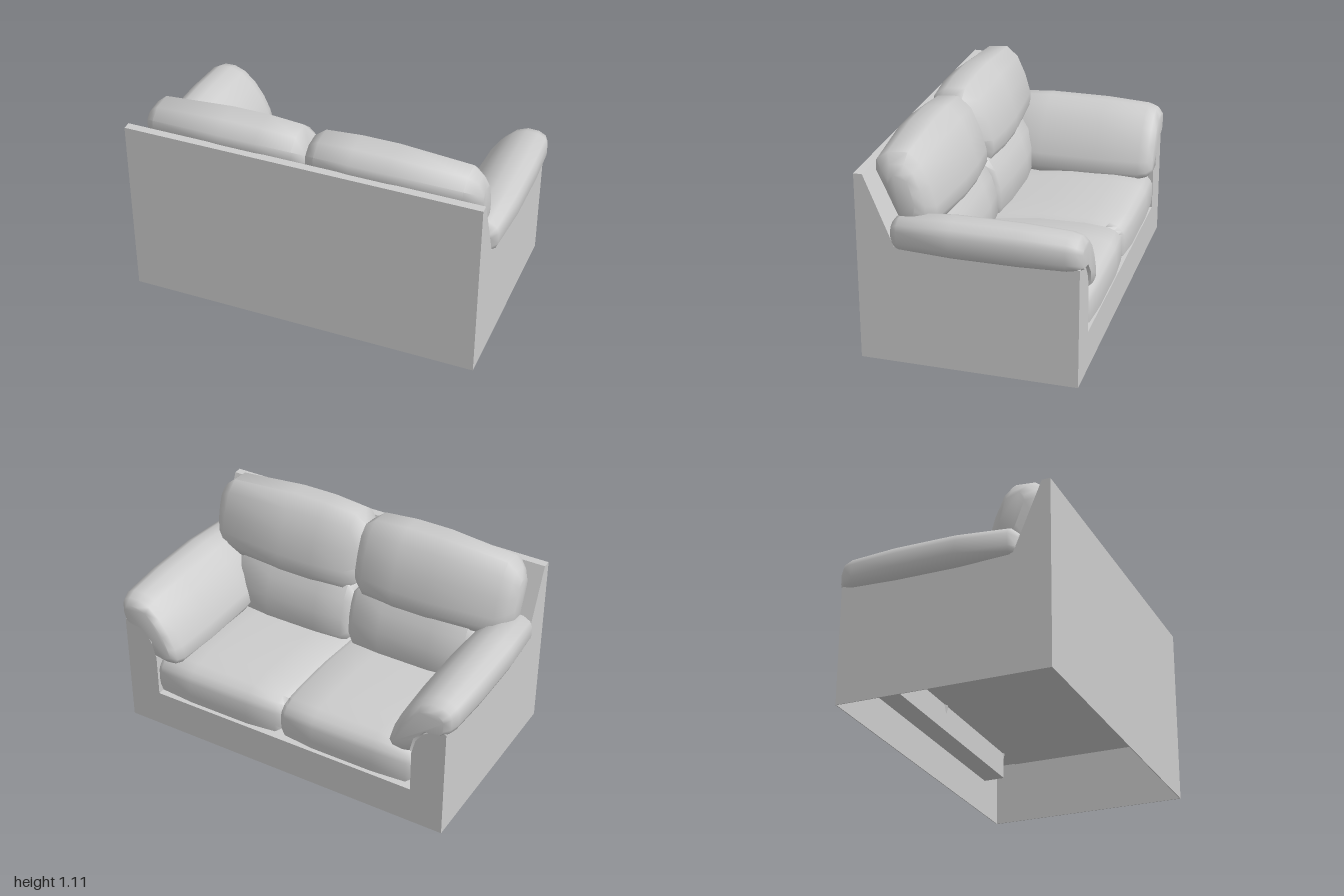
import * as THREE from 'three';
import { toCreasedNormals } from 'three/addons/utils/BufferGeometryUtils.js';

// Mirror a list of [coordinate, value] pairs, keeping its winding or order consistent.
const mirrored = (list) => list.map(([a, b]) => [-a, b]).reverse();

// Padded form: a counter-clockwise (x, y) profile swept along z.
// Each station is [z, inset]; the inset pulls the profile towards its middle,
// and "hug" adds a pull along the profile's own normals, for bent profiles.
function padGeometry(profile, stations, hug = 0) {
  const n = profile.length;
  const contour = profile.map((p) => new THREE.Vector2(p[0], p[1]));
  const box = new THREE.Box2().setFromPoints(contour);
  const mid = box.getCenter(new THREE.Vector2());
  const half = box.getSize(new THREE.Vector2()).multiplyScalar(0.5);
  const pulls = contour.map((p, i) => {
    const edge = contour[(i + 1) % n].clone().sub(contour[(i + n - 1) % n]).normalize();
    return p.clone().sub(mid).divide(half).add(new THREE.Vector2(edge.y, -edge.x).multiplyScalar(hug));
  });
  const pos = [], index = [];
  for (const [z, d] of stations) {
    contour.forEach((p, i) => pos.push(p.x - pulls[i].x * d, p.y - pulls[i].y * d, z));
  }
  const last = (stations.length - 1) * n;
  for (let s = 0; s < last; s += n) {
    for (let i = 0; i < n; i++) {
      const j = (i + 1) % n;
      index.push(s + i, s + j, s + n + j, s + i, s + n + j, s + n + i);
    }
  }
  // End caps
  for (const [a, b, c] of THREE.ShapeUtils.triangulateShape(contour, [])) {
    index.push(c, b, a, last + a, last + b, last + c);
  }
  const geo = new THREE.BufferGeometry();
  geo.setAttribute('position', new THREE.Float32BufferAttribute(pos, 3));
  geo.setIndex(index);
  return toCreasedNormals(geo, 0.95);
}

function extruded(points, depth) {
  const shape = new THREE.Shape(points.map((p) => new THREE.Vector2(p[0], p[1])));
  return new THREE.ExtrudeGeometry(shape, { depth, bevelEnabled: false });
}

export function createModel() {
  const sofa = new THREE.Group();
  sofa.name = 'sofa';
  const fabric = new THREE.MeshStandardMaterial({ color: 0xcccccc });
  fabric.name = 'greyFabric';

  const add = (name, geo, x = 0, y = 0, z = 0) => {
    const mesh = new THREE.Mesh(geo, fabric);
    mesh.name = name;
    mesh.position.set(x, y, z);
    sofa.add(mesh);
  };
  // Thin panel spanning two opposite corners
  const panel = (name, [x0, y0, z0], [x1, y1, z1]) =>
    add(name, new THREE.BoxGeometry(Math.abs(x1 - x0), y1 - y0, z1 - z0),
      (x0 + x1) / 2, (y0 + y1) / 2, (z0 + z1) / 2);

  const W = 0.955, FRONT = -0.555, BACK = 0.565, INNER = 0.77;
  const RAIL = 0.21, DECK = 0.357, RISER = -0.435, T = 0.004;
  const depth = BACK - FRONT;

  // Hollow base, open underneath, with a stepped ledge behind the front rail
  panel('backSkirt', [-W, 0, BACK - T], [W, DECK, BACK]);
  panel('frontRail', [-W, 0, FRONT], [W, RAIL, FRONT + T]);
  panel('frontLedge', [-INNER, RAIL - T, FRONT + T], [INNER, RAIL, RISER]);
  panel('ledgeRiser', [-INNER, RAIL - T, RISER], [INNER, DECK, RISER + T]);
  panel('seatDeck', [-W + T, DECK - T, RISER], [W - T, DECK, BACK - T]);

  // Sloped backrest frame; profile is (forward, y)
  const backFrame = [[-BACK, DECK], [-0.255, DECK], [-0.37, 0.635], [-0.52, 1], [-BACK, 1]];
  add('backFrame', extruded(backFrame, 2 * W).rotateY(Math.PI / 2), -W);

  // Arm profiles, (x, y)
  const armFrame = [[INNER, DECK], [W, DECK], [W, 0.635], [0.93, 0.64], [0.88, 0.625],
    [0.83, 0.59], [0.79, 0.53], [INNER, 0.45]];
  const armPad = [[0.95, 0.61], [0.985, 0.635], [1, 0.67], [1, 0.74], [0.985, 0.775], [0.94, 0.8],
    [0.87, 0.803], [0.8, 0.775], [0.73, 0.71], [0.67, 0.62], [0.63, 0.53], [0.612, 0.46],
    [0.635, 0.42], [0.7, 0.41], [0.775, 0.43], [0.8, 0.53], [0.86, 0.6]];
  const armStations = [[-0.567, 0.038], [-0.54, 0.018], [-0.49, 0.008], [-0.25, 0], [0.08, 0],
    [0.35, 0.012], [0.39, 0.034]];

  // Cushion profiles, (forward, y), and stations, [x, inset]
  const seat = [[-0.3, 0.366], [0.44, 0.366], [0.46, 0.25], [0.53, 0.232], [0.562, 0.24],
    [0.567, 0.29], [0.565, 0.37], [0.555, 0.395], [0.53, 0.425], [0.48, 0.443], [0.36, 0.453],
    [0.1, 0.447], [-0.15, 0.415], [-0.3, 0.4]];
  const lowerBack = [[-0.38, 0.37], [-0.14, 0.37], [-0.112, 0.43], [-0.117, 0.55], [-0.15, 0.66],
    [-0.2, 0.74], [-0.38, 0.74]];
  const pillow = [[-0.36, 0.68], [-0.25, 0.66], [-0.19, 0.68], [-0.162, 0.74], [-0.165, 0.81],
    [-0.2, 0.93], [-0.255, 1.05], [-0.33, 1.112], [-0.45, 1.102], [-0.52, 1.05], [-0.525, 0.99],
    [-0.48, 0.9], [-0.4, 0.74]];
  const seatStations = [[0, 0.03], [0.03, 0.01], [0.2, 0], [0.55, 0], [0.74, 0.008], [0.768, 0.026]];
  const lowerStations = [[0, 0.045], [0.035, 0.015], [0.2, 0], [0.5, 0], [0.69, 0.02], [0.74, 0.06]];
  const pillowStations = [[0, 0.06], [0.06, 0.014], [0.25, 0], [0.45, 0], [0.83, 0.027], [0.88, 0.07], [0.91, 0.115]];

  for (const side of [1, -1]) {
    const name = (part) => (side > 0 ? 'left' : 'right') + part;
    const flip = (list) => (side > 0 ? list : mirrored(list));
    const cushion = (part, profile, stations) =>
      add(name(part), padGeometry(profile, flip(stations)).rotateY(Math.PI / 2));

    // Arm
    panel(name('SideSkirt'), [side * (W - T), 0, FRONT + T], [side * W, DECK, BACK - T]);
    panel(name('FrontPost'), [side * INNER, RAIL, FRONT], [side * W, DECK, FRONT + T]);
    panel(name('InnerPost'), [side * INNER, RAIL - T, FRONT + T], [side * (INNER + T), DECK, RISER]);
    add(name('ArmFrame'), extruded(flip(armFrame), depth), 0, 0, FRONT);
    add(name('ArmPad'), padGeometry(flip(armPad), armStations, 0.5));

    // Cushions
    cushion('SeatCushion', seat, seatStations);
    cushion('LowerBackCushion', lowerBack, lowerStations);
    cushion('BackPillow', pillow, pillowStations);
  }
  return sofa;
}
